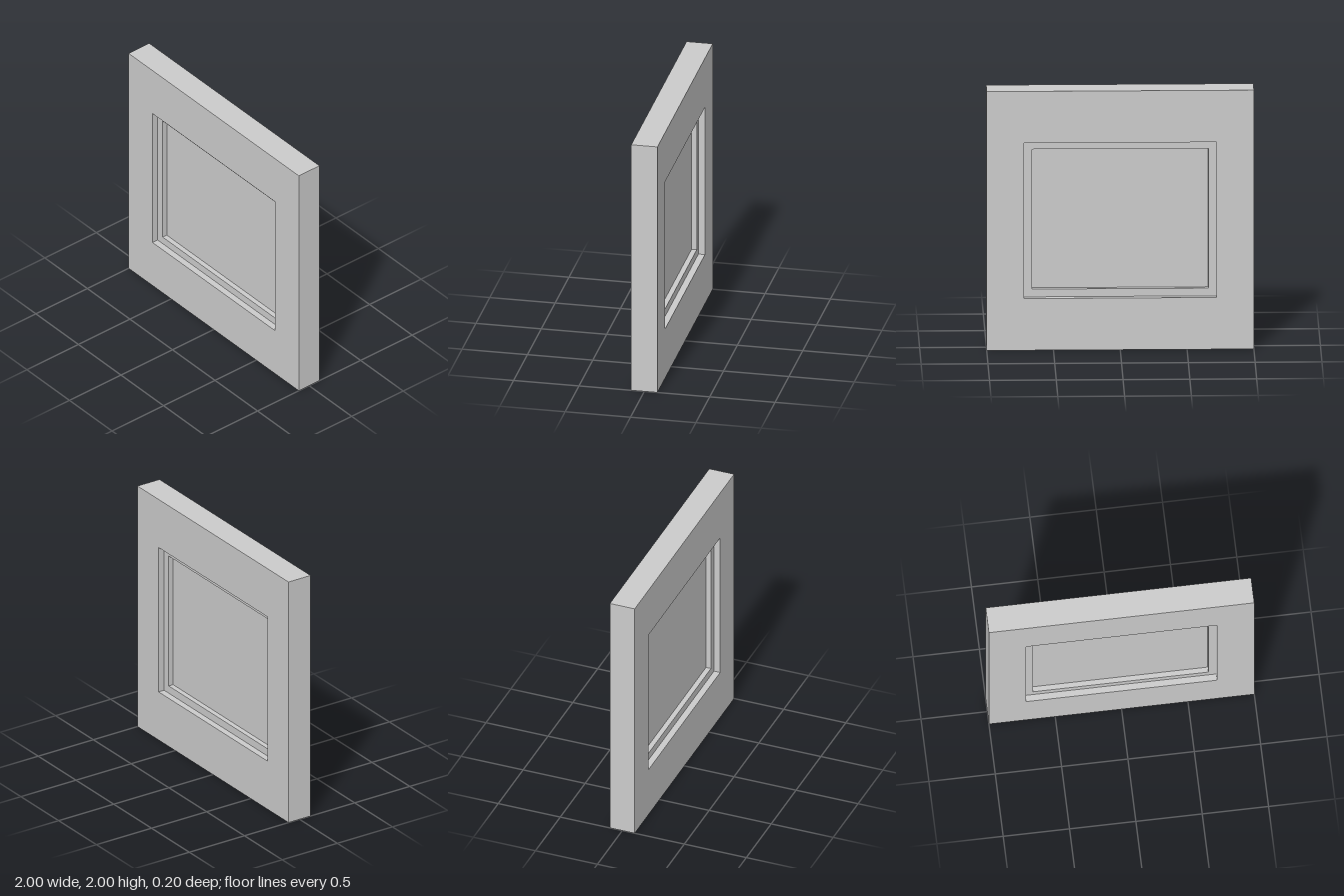
import * as THREE from 'three';

const WALL = { w: 2, h: 2, d: 0.2 };
const OPENING = { w: 1.44, h: 1.2 };
const FRAME = { width: 0.06, d: 0.1 };
const PANE_DEPTH = 0.02;

// Corners of a rectangle centred on the origin
function rectPoints(w, h) {
  return [[-1, -1], [1, -1], [1, 1], [-1, 1]].map(([x, y]) => new THREE.Vector2(x * w / 2, y * h / 2));
}

// Rectangular slab with a rectangular hole, centred in depth
function border(w, h, holeW, holeH, depth) {
  const shape = new THREE.Shape(rectPoints(w, h));
  shape.holes.push(new THREE.Path(rectPoints(holeW, holeH).reverse()));
  const geometry = new THREE.ExtrudeGeometry(shape, { depth, bevelEnabled: false });
  return geometry.translate(0, 0, -depth / 2);
}

export function createModel() {
  const group = new THREE.Group();
  group.name = 'wallWithWindow';
  const material = new THREE.MeshStandardMaterial({ color: 0xcccccc });
  const add = (name, geometry) => {
    const mesh = new THREE.Mesh(geometry, material);
    mesh.name = name;
    mesh.position.y = WALL.h / 2;
    group.add(mesh);
  };
  const paneW = OPENING.w - 2 * FRAME.width;
  const paneH = OPENING.h - 2 * FRAME.width;

  // Thick wall around the opening
  add('wall', border(WALL.w, WALL.h, OPENING.w, OPENING.h, WALL.d));
  // Window frame, recessed on both sides
  add('windowFrame', border(OPENING.w, OPENING.h, paneW, paneH, FRAME.d));
  // Thin pane in the middle of the frame
  add('windowPane', new THREE.BoxGeometry(paneW, paneH, PANE_DEPTH));

  return group;
}
